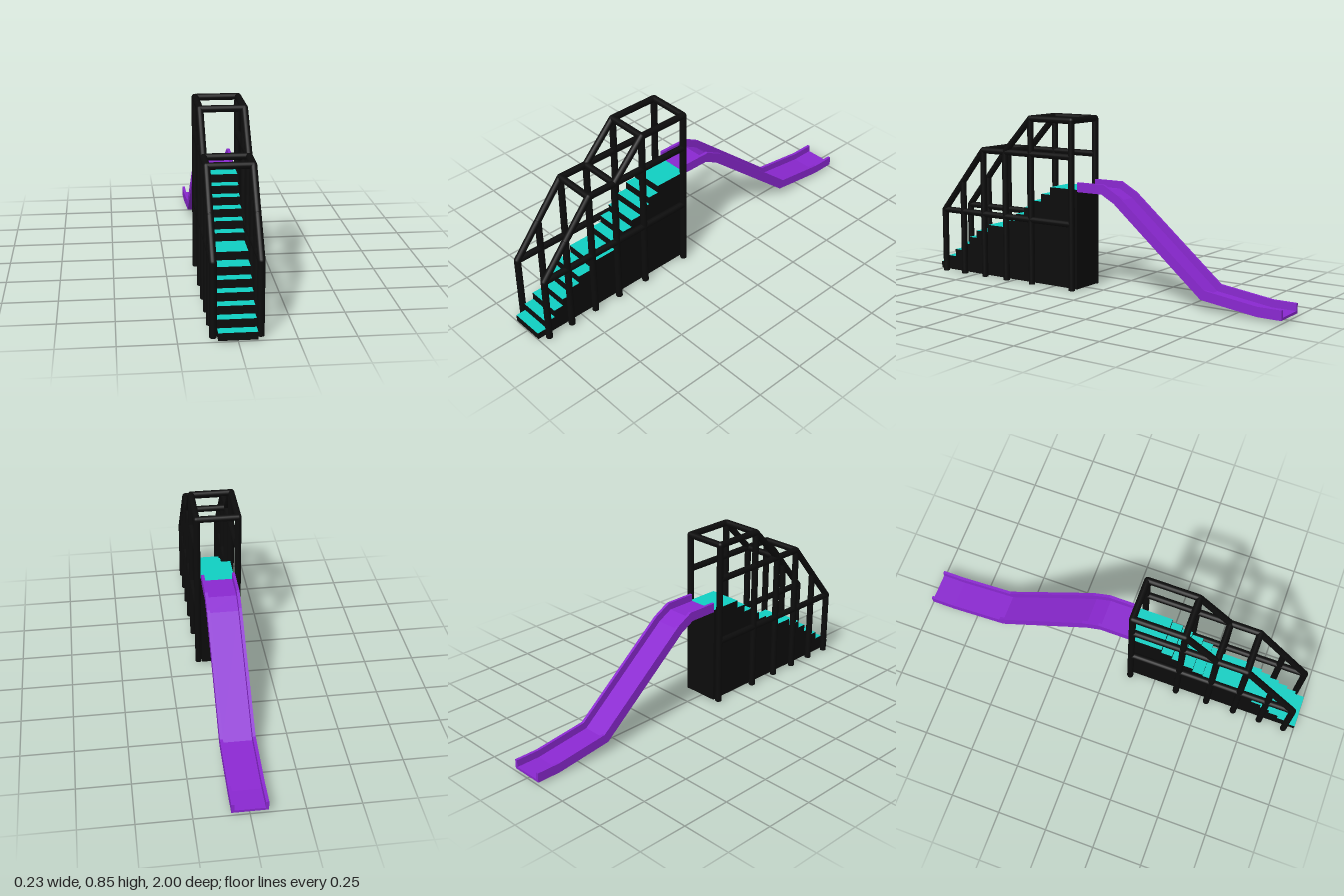
import * as THREE from 'three';

const mat = (color) => new THREE.MeshStandardMaterial({ color });
const black = mat(0x0c0c0c), teal = mat(0x10cfc3), purple = mat(0x8a28d0);
const R = 0.016;   // rail tube radius
const RAIL_X = 0.1; // rail centre line
const W = 0.083;   // half width of stairs and slide

function add(parent, name, geo, material) {
  const m = new THREE.Mesh(geo, material);
  m.name = name;
  parent.add(m);
  return m;
}

// Extrudes a closed side outline of [z, y] points across x0..x1
function sideExtrude(points, x0, x1) {
  const shape = new THREE.Shape(points.map(([z, y]) => new THREE.Vector2(-z, y)));
  const geo = new THREE.ExtrudeGeometry(shape, { depth: x1 - x0, bevelEnabled: false });
  return geo.rotateY(Math.PI / 2).translate(x0, 0, 0);
}

// Round bar between two points, with domed ends
function rod(parent, name, a, b) {
  const p = new THREE.Vector3(...a), q = new THREE.Vector3(...b);
  const m = add(parent, name, new THREE.CylinderGeometry(R, R, p.distanceTo(q), 16), black);
  m.position.copy(p).lerp(q, 0.5);
  m.quaternion.setFromUnitVectors(new THREE.Vector3(0, 1, 0), q.clone().sub(p).normalize());
}

// Offsets an open [z, y] path upwards along mitred normals
function offsetPath(path, d) {
  const normal = (a, b) => new THREE.Vector2(b[1] - a[1], a[0] - b[0]).normalize();
  return path.map((p, i) => {
    const n0 = normal(path[Math.max(i - 1, 0)], path[Math.max(i, 1)]);
    const last = path.length - 1;
    const n1 = normal(path[Math.min(i, last - 1)], path[Math.min(i + 1, last)]);
    const n = n0.clone().add(n1).normalize();
    const k = d / n.dot(n0);
    return [p[0] + n.x * k, p[1] + n.y * k];
  });
}

function buildStairs() {
  const g = new THREE.Group();
  g.name = 'stairs';
  // Front edge of each step, ending at the back of the platform
  const edges = [1, 0.95, 0.9, 0.85, 0.8, 0.75, 0.67, 0.535, 0.483, 0.43, 0.373, 0.32, 0.265, 0.1];
  const rise = 0.5 / 13;
  const outline = [[1, 0.005]];
  for (let i = 0; i < 13; i++) {
    const y = rise * (i + 1), z0 = edges[i], z1 = edges[i + 1];
    outline.push([z0, y], [z1, y]);
    const tread = add(g, 'tread', new THREE.PlaneGeometry(W * 2, z0 - z1).rotateX(-Math.PI / 2), teal);
    tread.position.set(0, y + 0.001, (z0 + z1) / 2);
  }
  outline.push([0.1, 0.005]);
  add(g, 'stairBody', sideExtrude(outline, -W, W), black);
  return g;
}

function buildRailings() {
  const g = new THREE.Group();
  g.name = 'railings';
  const low = 0.33, mid = 0.66, top = 0.836;
  const posts = [[0.95, low], [0.82, 0.49], [0.68, mid], [0.535, mid], [0.37, top], [0.12, top]];
  const rails = [
    [0.95, low, 0.12, low], [0.68, mid, 0.12, mid], [0.37, top, 0.12, top],
    [0.95, low, 0.68, mid], [0.535, mid, 0.37, top],
  ];
  for (const x of [-RAIL_X, RAIL_X]) {
    for (const [z, y] of posts) {
      rod(g, 'post', [x, 0, z], [x, y, z]);
      add(g, 'joint', new THREE.SphereGeometry(R, 16, 10), black).position.set(x, y, z);
    }
    for (const [z0, y0, z1, y1] of rails) rod(g, 'handrail', [x, y0, z0], [x, y1, z1]);
  }
  // Overhead crossbars
  for (const [z, y] of posts.slice(2)) rod(g, 'crossbar', [-RAIL_X, y, z], [RAIL_X, y, z]);
  return g;
}

function buildSlide() {
  const g = new THREE.Group();
  g.name = 'slide';
  const bottom = [[0.1, 0.49], [-0.045, 0.49], [-0.115, 0.452], [-0.594, 0.052], [-0.88, 0.015], [-1, 0.015]];
  const band = (h) => [...bottom, ...offsetPath(bottom, h).reverse()];
  const wall = 0.014;
  add(g, 'slideFloor', sideExtrude(band(0.012), -W + wall, W - wall), purple);
  add(g, 'slideWallRight', sideExtrude(band(0.047), -W, -W + wall), purple);
  add(g, 'slideWallLeft', sideExtrude(band(0.047), W - wall, W), purple);
  return g;
}

export function createModel() {
  const model = new THREE.Group();
  model.name = 'playgroundSlide';
  model.add(buildStairs(), buildRailings(), buildSlide());
  return model;
}
